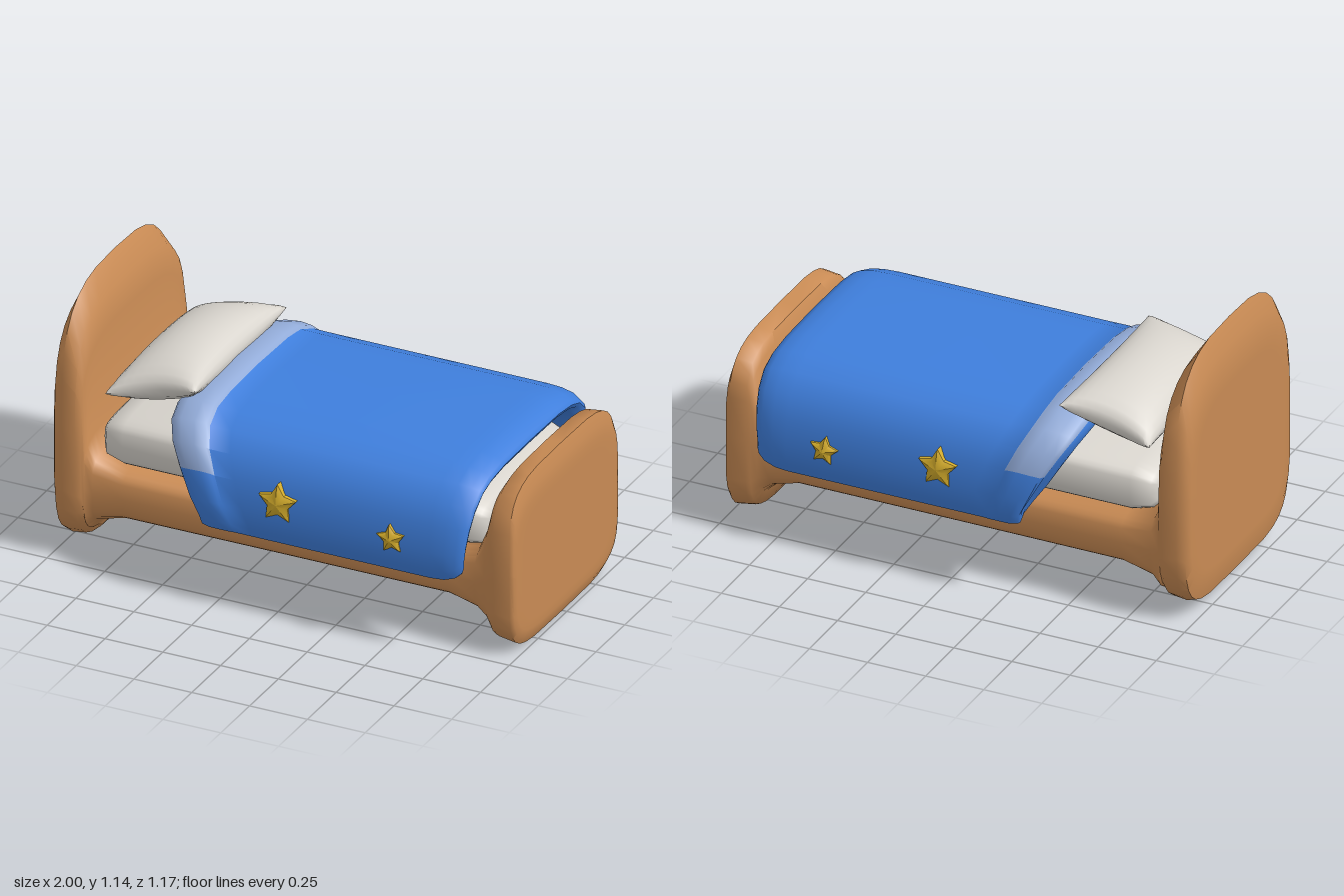
import * as THREE from 'three';
import { toCreasedNormals } from 'three/addons/utils/BufferGeometryUtils.js';

const mat = (name, color) => {
  const m = new THREE.MeshStandardMaterial({ color });
  m.name = name;
  return m;
};

// Skin closed rings of [x, y, z] points that follow each other along +x.
// isAlt(i, j) sends a face to the second material group.
function loft(rings, crease, isAlt = () => false) {
  const n = rings[0].length, main = [], alt = [];
  for (let i = 0; i < rings.length - 1; i++) {
    for (let j = 0; j < n; j++) {
      const a = i * n + j, b = i * n + (j + 1) % n;
      (isAlt(i, j) ? alt : main).push(a, b, b + n, a, b + n, a + n);
    }
  }
  const g = new THREE.BufferGeometry();
  g.setAttribute('position', new THREE.Float32BufferAttribute(rings.flat(2), 3));
  g.setIndex([...main, ...alt]);
  if (alt.length) {
    g.addGroup(0, main.length, 0);
    g.addGroup(main.length, alt.length, 1);
  }
  return toCreasedNormals(g, crease);
}

// Rounded-rectangle ring across x, with separate roundness for top and bottom
function roundRing([x, hz, y0, y1, nTop = 5, nBottom = 5], s = 1) {
  const pow = (v, n) => Math.sign(v) * Math.abs(v) ** (2 / n);
  const cy = (y0 + y1) / 2, hy = (y1 - y0) / 2;
  return Array.from({ length: 32 }, (_, j) => {
    const a = (j / 32) * Math.PI * 2, c = Math.cos(a);
    const n = c > 0 ? nTop : nBottom;
    return [x, cy + s * hy * pow(c, n), s * hz * pow(Math.sin(a), n)];
  });
}

// Rounded body with flat closed ends
function roundBody(sections, crease) {
  const first = sections[0], last = sections[sections.length - 1];
  return loft([
    roundRing(first, 0), roundRing(first, 0.88),
    ...sections.map((s) => roundRing(s)),
    roundRing(last, 0.88), roundRing(last, 0),
  ], crease);
}

// Draped blanket: outer and inner half profiles [z, y], paired by index
function blanketGeometry() {
  const outer = [[0, .775], [.25, .768], [.36, .752], [.45, .715], [.515, .65], [.55, .56], [.565, .45], [.56, .37], [.547, .33]];
  const inner = [[0, .67], [.22, .67], [.33, .66], [.39, .635], [.44, .57], [.475, .49], [.495, .42], [.505, .36], [.522, .325]];
  const mirror = (p) => p.slice(1).reverse().map(([z, y]) => [-z, y]);
  const full = (p) => [...mirror(p), ...p];
  const o = full(outer), q = full(inner);
  const clamp = THREE.MathUtils.clamp;
  const ring = ([t, s]) => {
    const place = (p, k) => {
      const mz = (o[k][0] + q[k][0]) / 2, my = (o[k][1] + q[k][1]) / 2;
      const hang = clamp((0.7 - my) / 0.35, 0, 1);
      const z = mz + (p[0] - mz) * s;
      const y = my + (p[1] - my) * s + Math.max(0, 1 - s) * 0.07 * hang;
      // the hanging sides are shorter than the top
      const x = THREE.MathUtils.lerp(-0.51 + 0.19 * hang, 0.85 - 0.03 * hang, t);
      return [x, y, z];
    };
    return [...o.map(place), ...q.map(place).reverse()];
  };
  const rows = [[0, 0], [.002, .5], [.012, .9], [.04, 1.2], [.085, 1.35], [.122, 1.25], [.132, 1.02], [.2, 1],
    [.5, 1], [.88, 1], [.93, .93], [.97, .7], [.993, .35], [1, 0]];
  // turned-down cuff: outer faces above the hanging part at the head end
  return loft(rows.map(ring), 0.9, (i, j) => i >= 1 && i <= 5 && j >= 3 && j < 13);
}

// Cushion with thin pinched corners and slightly hollow sides
function pillowGeometry() {
  const N = 14, rings = [];
  for (let i = 0; i <= N; i++) {
    const u = -Math.cos((i / N) * Math.PI);
    const ring = [];
    for (let j = 0; j < 2 * N; j++) {
      const a = (j / (2 * N)) * Math.PI * 2 - Math.PI / 2;
      const v = Math.sin(a), side = Math.cos(a);
      const puff = Math.sqrt(Math.max(0, 1 - u * u)) * Math.abs(side) ** 0.8;
      ring.push([
        u * (0.2 - 0.012 * (1 - v * v)),
        Math.sign(side) * 0.108 * puff,
        v * (0.40 - 0.03 * (1 - u * u)),
      ]);
    }
    rings.push(ring);
  }
  return loft(rings, 1.2);
}

// Puffy five-pointed star facing +x
function starGeometry(r, turn) {
  const ring = (x, s) => Array.from({ length: 10 }, (_, j) => {
    const a = (j / 10) * Math.PI * 2 + turn, d = s * r * (j % 2 ? 0.55 : 1);
    return [x, d * Math.cos(a), d * Math.sin(a)];
  });
  return loft([ring(0, 0), ring(0, 1), ring(0.036, 1), ring(0.044, 0.75), ring(0.054, 0)], 0.5);
}

export function createModel() {
  const wood = mat('wood', 0xc98b54);
  const linen = mat('linen', 0xd9d5ce);
  const blue = mat('blanketBlue', 0x3f7fdd);
  const cuff = mat('cuffBlue', 0x93acd9);
  const gold = mat('gold', 0xd6ae2c);

  const bed = new THREE.Group();
  bed.name = 'bed';
  const add = (name, geometry, material) => {
    const m = new THREE.Mesh(geometry, material);
    m.name = name;
    bed.add(m);
    return m;
  };

  // Headboard, rail and footboard in one flowing body
  add('bedFrame', roundBody([
    [-1.0, .44, .11, .96, 3.3, 5],
    [-.985, .465, .04, 1.06, 3.3, 5],
    [-.95, .475, .03, 1.14, 3.2, 5],
    [-.89, .48, .045, 1.05, 3.3, 5],
    [-.872, .465, .07, .93, 3.4, 5],
    [-.862, .455, .09, .53],
    [-.83, .45, .14, .455],
    [-.7, .445, .18, .415],
    [0, .44, .18, .41],
    [.7, .44, .18, .415],
    [.82, .44, .14, .45],
    [.865, .45, .09, .57],
    [.89, .455, .02, .69],
    [.91, .46, .012, .73, 4.3, 5],
    [.98, .462, 0, .74, 4.3, 5],
    [.995, .455, .03, .69, 4.3, 5],
    [1.0, .43, .06, .64, 4.3, 5],
  ], 0.95), wood);

  add('mattress', roundBody([
    [-.82, .36, .45, .57],
    [-.8, .39, .42, .59],
    [-.72, .41, .4, .615],
    [.74, .41, .4, .615],
    [.82, .39, .41, .59],
    [.845, .36, .44, .57],
  ], 1), linen);

  add('blanket', blanketGeometry(), [blue, cuff]);

  const pillow = add('pillow', pillowGeometry(), linen);
  pillow.position.set(-.605, .765, 0);
  pillow.rotation.z = 0.24;

  // Two stars on each hanging side
  for (const side of [1, -1]) {
    for (const [x, y, r, turn] of [[.03, .51, .085, 0], [.52, .47, .062, .12]]) {
      const star = add(side > 0 ? 'frontStar' : 'backStar', starGeometry(r, turn * side), gold);
      star.position.set(x, y, side * 0.532);
      star.rotation.y = -side * Math.PI / 2;
    }
  }
  return bed;
}
